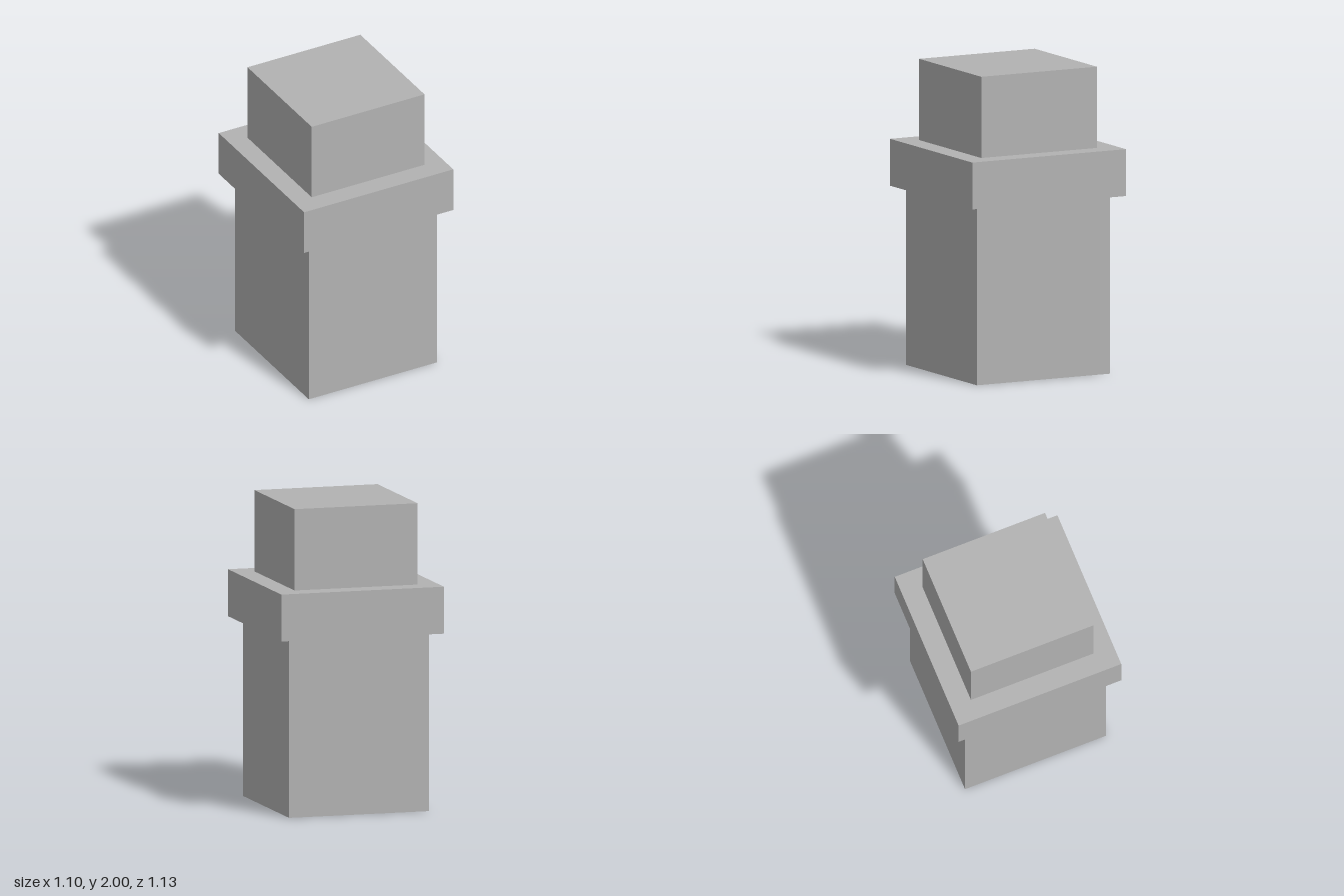
import * as THREE from 'three';

export function createModel() {
  const group = new THREE.Group();
  group.name = 'steppedPost';
  const grey = new THREE.MeshStandardMaterial({ color: 0xb2b2b2 });
  grey.name = 'grey';

  // Upright block spanning bottom to top, centred on the axis
  const addBlock = (name, width, depth, bottom, top) => {
    const mesh = new THREE.Mesh(new THREE.BoxGeometry(width, top - bottom, depth), grey);
    mesh.name = name;
    mesh.position.y = (bottom + top) / 2;
    group.add(mesh);
  };

  addBlock('shaft', 0.946, 0.978, 0, 1.164);
  addBlock('collar', 1.1, 1.13, 1.164, 1.47);
  addBlock('cap', 0.832, 0.85, 1.47, 2);

  return group;
}
